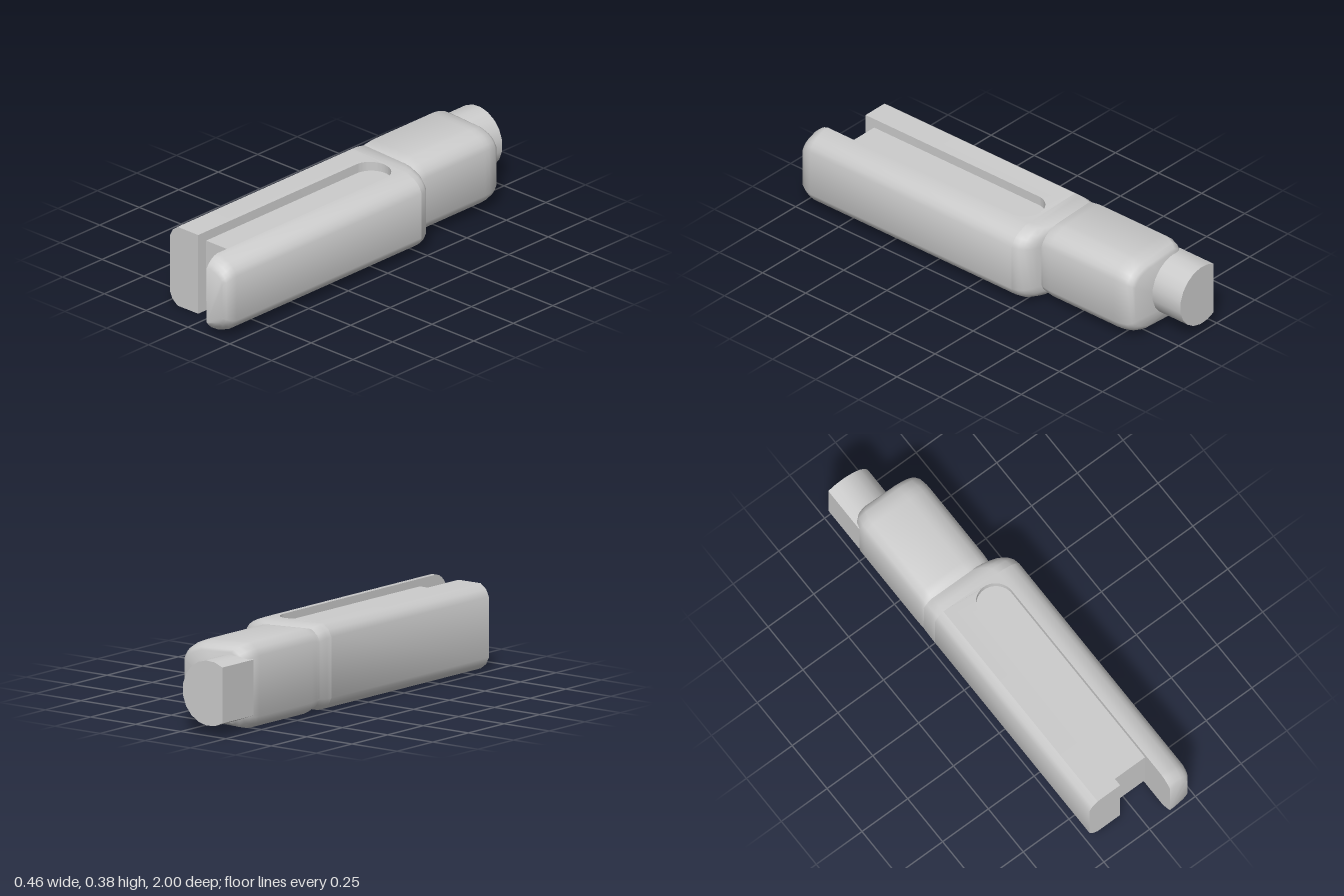
import * as THREE from 'three';
import { toCreasedNormals, mergeVertices } from 'three/addons/utils/BufferGeometryUtils.js';

const MID = 0.1895; // height of the horizontal symmetry plane

// half profiles as [x, half height], listed from left to right
const LEFT = [[-0.23, 0.135], [-0.215, 0.166], [-0.185, 0.189]];
const RIGHT = [[0.112, 0.179], [0.14, 0.1775], [0.185, 0.16], [0.205, 0.146], [0.219, 0.128], [0.23, 0.106]];

// mirrors a half profile into a closed counter-clockwise ring at depth z
function ring(half, z) {
  const low = half.map(([x, h]) => [x, MID - h, z]);
  const high = half.map(([x, h]) => [x, MID + h, z]).reverse();
  return [...low, ...high];
}

// joins rings (ordered by rising z) into a capped solid
function loft(rings) {
  const n = rings[0].length;
  const last = (rings.length - 1) * n;
  const index = [];
  for (let i = 0; i < rings.length - 1; i++) {
    for (let j = 0; j < n; j++) {
      const k = (j + 1) % n;
      const a = i * n + j, b = i * n + k, c = b + n, d = a + n;
      index.push(a, b, c, a, c, d);
    }
  }
  for (let j = 1; j < n - 1; j++) {
    index.push(0, j + 1, j, last, last + j, last + j + 1);
  }
  const geo = new THREE.BufferGeometry();
  geo.setAttribute('position', new THREE.Float32BufferAttribute(rings.flat(2), 3));
  geo.setIndex(index);
  return toCreasedNormals(geo, 0.75);
}

// full body section with the right side moved in, heights scaled, left side inset
function bodySection(z, shift, scale, inset = 0) {
  const half = [
    ...LEFT.map(([x, h]) => [x + inset, h * scale]),
    ...RIGHT.map(([x, h]) => [x - shift, h * scale]),
  ];
  return ring(half, z);
}

// body block with the rounded slot end; its top and bottom taper towards +x
function coreGeometry() {
  const s = new THREE.Shape();
  s.moveTo(-0.185, -0.235);
  s.lineTo(0.112, -0.235);
  s.lineTo(0.112, -0.133);
  s.absarc(0.025, -0.133, 0.087, 0, -Math.PI, true);
  s.lineTo(-0.062, 0.87);
  s.lineTo(-0.185, 0.87);
  s.closePath();
  let geo = new THREE.ExtrudeGeometry(s, { depth: 2, bevelEnabled: false, curveSegments: 20 });
  geo.rotateX(Math.PI / 2).translate(0, 1, 0);
  const p = geo.attributes.position;
  for (let i = 0; i < p.count; i++) {
    const t = Math.max(0, (p.getX(i) + 0.07) / 0.182);
    p.setY(i, MID + p.getY(i) * (0.189 - 0.01 * t));
  }
  geo.deleteAttribute('normal');
  geo.deleteAttribute('uv');
  geo = mergeVertices(geo);
  return toCreasedNormals(geo, 0.6);
}

export function createModel() {
  const group = new THREE.Group();
  const material = new THREE.MeshStandardMaterial({ color: 0xcccccc });
  const add = (name, geo) => {
    const mesh = new THREE.Mesh(geo, material);
    mesh.name = name;
    group.add(mesh);
    return mesh;
  };

  // left rail and the slotted block
  add('slottedCore', coreGeometry());
  add('leftRailEdge', loft([-0.235, 0.87].map((z) => ring(LEFT, z))));

  // right rail, longer and rounded off at the front: [z, narrowing, height scale]
  const tongue = [
    [-0.235, 0, 1], [0.935, 0, 1], [0.955, 0.02, 0.965],
    [0.972, 0.05, 0.905], [0.987, 0.1, 0.83], [1, 0.2, 0.73],
  ];
  add('rightRail', loft(tongue.map(([z, n, s]) =>
    ring(RIGHT.map(([x, h]) => [0.112 + (x - 0.112) * (1 - n), h * s]), z))));

  // recessed web between the rails
  const web = add('slotWeb', new THREE.BoxGeometry(0.2, 0.29, 1.04));
  web.position.set(0.02, MID, 0.3);

  // shoulder stepping in behind the slot: [z, right shift, height scale]
  const shoulder = [
    [-0.325, 0.115, 0.925], [-0.315, 0.075, 0.935], [-0.305, 0.047, 0.955],
    [-0.285, 0.02, 0.98], [-0.265, 0.007, 0.997], [-0.235, 0, 1],
  ];
  add('shoulder', loft(shoulder.map((v) => bodySection(...v))));

  // rear block with rounded ends: [z, right shift, height scale, left inset]
  const rear = [
    [-0.838, 0.13, 0.82, 0.035], [-0.83, 0.116, 0.88, 0.025], [-0.81, 0.104, 0.94, 0.01],
    [-0.77, 0.098, 0.99, 0], [-0.74, 0.097, 1, 0], [-0.37, 0.097, 1, 0],
    [-0.335, 0.098, 0.97, 0], [-0.315, 0.1, 0.93, 0],
  ];
  add('rearBlock', loft(rear.map((v) => bodySection(...v))));

  // D-shaped rear tab, flat on the left
  const tabHalf = Array.from({ length: 7 }, (_, i) => {
    const a = THREE.MathUtils.lerp(2.115, 0.2, i / 6);
    return [-0.155 + 0.145 * Math.cos(a), 0.145 * Math.sin(a)];
  });
  add('rearTab', loft([-1, -0.78].map((z) => ring(tabHalf, z))));

  return group;
}
